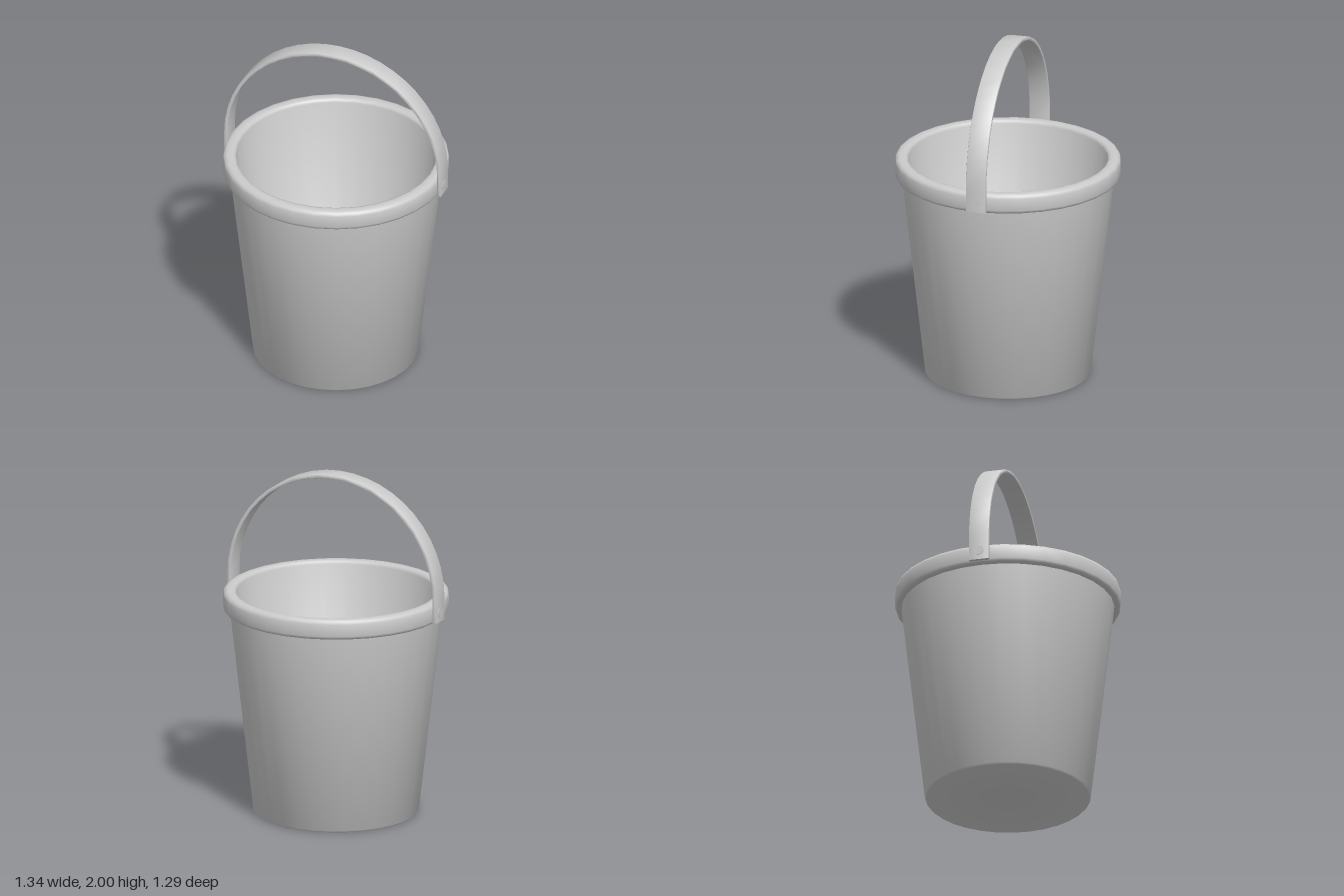
import * as THREE from 'three';
import { toCreasedNormals } from 'three/addons/utils/BufferGeometryUtils.js';

const RIVET_Y = 1.26;

function addMesh(parent, name, geometry) {
  const material = new THREE.MeshStandardMaterial({ color: 0xcccccc });
  const mesh = new THREE.Mesh(geometry, material);
  mesh.name = name;
  parent.add(mesh);
  return mesh;
}

// Tapered wall, rolled rim, inner wall and floor in one closed profile
function bucketGeometry() {
  const profile = [
    [0, 0], [0.465, 0], [0.474, 0.01], [0.608, 1.195],
    [0.63, 1.195], [0.64, 1.201], [0.645, 1.215],
    [0.645, 1.285], [0.639, 1.302], [0.622, 1.31],
    [0.59, 1.31], [0.576, 1.305], [0.57, 1.29],
    [0.44, 0.07], [0.43, 0.06], [0.34, 0.055], [0, 0.055],
  ].map(([r, y]) => new THREE.Vector2(r, y));
  return toCreasedNormals(new THREE.LatheGeometry(profile, 32), 0.9);
}

// Flat strap: half circle with short straight legs, edges bevelled
function handleGeometry() {
  const outer = 0.667, inner = 0.645, centreY = 1.333, footY = 1.205;
  const width = 0.12, bevel = 0.007;
  const shape = new THREE.Shape();
  shape.moveTo(outer, footY);
  shape.lineTo(outer, centreY);
  shape.absarc(0, centreY, outer, 0, Math.PI, false);
  shape.lineTo(-outer, footY);
  shape.lineTo(-inner, footY);
  shape.lineTo(-inner, centreY);
  shape.absarc(0, centreY, inner, Math.PI, 0, true);
  shape.lineTo(inner, footY);
  shape.closePath();
  const geometry = new THREE.ExtrudeGeometry(shape, {
    depth: width - 2 * bevel,
    curveSegments: 12,
    bevelEnabled: true,
    bevelThickness: bevel,
    bevelSize: bevel,
    bevelOffset: -bevel,
    bevelSegments: 2,
  });
  geometry.translate(0, 0, bevel - width / 2);
  return toCreasedNormals(geometry, 0.7);
}

export function createModel() {
  const model = new THREE.Group();
  model.name = 'bucket';

  addMesh(model, 'bucketBody', bucketGeometry());
  addMesh(model, 'handle', handleGeometry());

  // Rivets joining the strap to the rim
  for (const [name, side] of [['leftRivet', 1], ['rightRivet', -1]]) {
    const geometry = toCreasedNormals(new THREE.CylinderGeometry(0.03, 0.03, 0.04, 8), 0.9);
    const rivet = addMesh(model, name, geometry);
    rivet.rotation.z = -side * Math.PI / 2;
    rivet.position.set(side * 0.65, RIVET_Y, 0);
  }

  return model;
}
